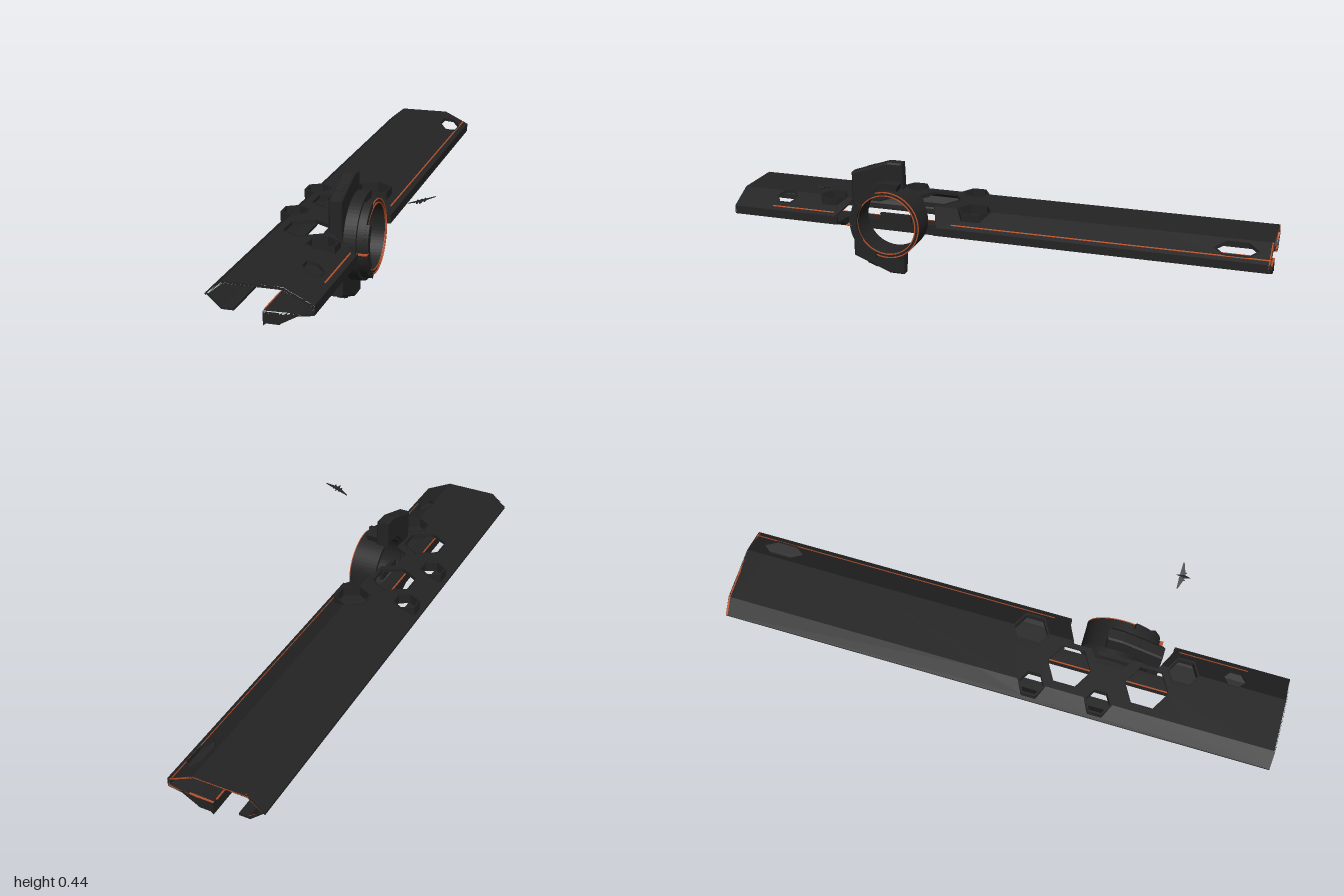
import * as THREE from 'three';

const dark = new THREE.MeshStandardMaterial({ color: 0x242424, flatShading: true, side: THREE.DoubleSide });
const orange = new THREE.MeshStandardMaterial({ color: 0xb8502a, side: THREE.DoubleSide });
const pale = new THREE.MeshStandardMaterial({ color: 0xcfdcd8, side: THREE.DoubleSide });

// Height of the shell's outer skin across its width
const FOLDS = [[-0.29, 0.23], [-0.235, 0.275], [-0.045, 0.275], [0.05, 0.228]];
function skin(x) {
  let i = 0;
  while (i < 2 && x > FOLDS[i + 1][0]) i++;
  const [a, b] = [FOLDS[i], FOLDS[i + 1]];
  return a[1] + (b[1] - a[1]) * (x - a[0]) / (b[0] - a[0]);
}

const toShape = pts => new THREE.Shape(pts.map(p => new THREE.Vector2(p[0], p[1])));

function extrude(pts, depth, holes = [], extra = {}) {
  const shape = toShape(pts);
  shape.holes = holes.map(toShape);
  return new THREE.ExtrudeGeometry(shape, { depth, bevelEnabled: false, curveSegments: 32, ...extra });
}

// Cut triangles along the plane x = c so that a flat sheet can be folded there
function splitAtX(tris, c) {
  const out = [];
  for (const tri of tris) {
    for (const side of [1, -1]) {
      const poly = [];
      tri.forEach((a, i) => {
        const b = tri[(i + 1) % 3], da = (a.x - c) * side, db = (b.x - c) * side;
        if (da >= 0) poly.push(a);
        if (da * db < 0) poly.push(a.clone().lerp(b, da / (da - db)));
      });
      if (poly.every(p => Math.abs(p.x - c) < 1e-7) && side < 0) continue;
      for (let i = 1; i + 1 < poly.length; i++) out.push([poly[0], poly[i], poly[i + 1]]);
    }
  }
  return out;
}

// Sheet drawn in plan (x, z) whose underside follows the height rule
function sheet(pts, holes, thick, height) {
  const flip = list => list.map(([x, z]) => [x, -z]);
  let g = extrude(flip(pts), thick, holes.map(flip));
  g.rotateX(-Math.PI / 2);
  if (g.index) g = g.toNonIndexed();
  const p = g.attributes.position;
  let tris = [];
  for (let i = 0; i < p.count; i += 3) tris.push([0, 1, 2].map(k => new THREE.Vector3().fromBufferAttribute(p, i + k)));
  for (const c of [-0.235, -0.045]) tris = splitAtX(tris, c);
  const verts = tris.flat().map(v => new THREE.Vector3(v.x, v.y + height(v.x), v.z));
  const out = new THREE.BufferGeometry().setFromPoints(verts);
  out.computeVertexNormals();
  return out;
}

const hex = (x, z, r, sx = 1) => Array.from({ length: 6 }, (_, i) => {
  const a = i * Math.PI / 3;
  return [x + Math.sin(a) * r * sx, z + Math.cos(a) * r];
});

// Ring sector in the z-y plane, angles measured from +z
function sector(r0, r1, a0, a1, n = 40) {
  const arc = (r, s, e) => Array.from({ length: n + 1 }, (_, i) => {
    const a = s + (e - s) * i / n;
    return [Math.cos(a) * r, Math.sin(a) * r];
  });
  return [...arc(r1, a0, a1), ...arc(r0, a1, a0)];
}

export function createModel() {
  const root = new THREE.Group();
  const add = (name, geo, mat = dark, parent = root) => {
    const m = new THREE.Mesh(geo, mat);
    m.name = name;
    parent.add(m);
    return m;
  };
  const box = (name, x0, x1, y0, y1, z0, z1, mat = dark, parent = root) => {
    const g = new THREE.BoxGeometry(x1 - x0, y1 - y0, z1 - z0);
    g.translate((x0 + x1) / 2, (y0 + y1) / 2, (z0 + z1) / 2);
    return add(name, g, mat, parent);
  };
  const along = (name, pts, z0, z1, mat = dark) => {
    const g = extrude(pts, z1 - z0);
    g.translate(0, 0, z0);
    return add(name, g, mat);
  };

  // Folded top shell with the side notch and hexagonal openings
  const raised = [[-0.236, 0.13, 0.048], [-0.236, 0.37, 0.048], [-0.05, 0.075, 0.065], [-0.05, 0.63, 0.055]];
  const flush = [[-0.14, 0.24, 0.083], [-0.14, 0.52, 0.083], [0, -0.88, 0.08, 0.46], [-0.018, 0.81, 0.045, 0.8]];
  const outline = [[-0.29, -1], [0.05, -1], [0.05, 0.19], [-0.055, 0.235], [-0.055, 0.3], [-0.105, 0.33],
    [-0.105, 0.42], [-0.055, 0.45], [-0.055, 0.545], [0.05, 0.59], [0.05, 1], [-0.29, 1]];
  const under = x => skin(x) - 0.008;
  add('topShell', sheet(outline, [...raised, ...flush].map(h => hex(...h)), 0.008, under));

  // Collars around the openings
  for (const [x, z, r] of raised) {
    add('raisedCollar', sheet(hex(x, z, r + 0.003), [hex(x, z, r - 0.004)], 0.036, () => 0.241));
    add('collarTrim', sheet(hex(x, z, r + 0.001), [hex(x, z, r - 0.002)], 0.001, () => 0.277));
  }
  for (const [x, z, r, s] of flush) {
    add('flushCollar', sheet(hex(x, z, r, s), [hex(x, z, r - 0.005, s)], 0.012, x => skin(x) - 0.01));
    add('collarTrim', sheet(hex(x, z, r - 0.002, s), [hex(x, z, r - 0.005, s)], 0.001, x => skin(x) + 0.002));
  }

  // Lower flange on the right edge
  const flange = [[-0.29, 0.23], [-0.239, 0.184], [-0.2, 0.184], [-0.2, 0.192], [-0.235, 0.192], [-0.278, 0.23]];
  along('lowerFlange', flange, -1, 1);

  // Left wall and floor, on both sides of the notch
  const wall = [[0.05, 0.228], [0.042, 0.228], [0.042, 0.205], [0, 0.198], [-0.06, 0.194], [-0.06, 0.156], [0, 0.19], [0.05, 0.197]];
  along('sideWall', wall, -1, 0.2);
  along('sideWall', wall, 0.58, 1);

  // Keel running the whole length beside the slot
  along('keel', [[-0.11, 0.193], [-0.11, 0.147], [-0.1, 0.155], [-0.058, 0.155], [-0.058, 0.193]], -1, 1);
  box('keelTrim', -0.112, -0.108, 0.189, 0.194, -0.98, 0.98, orange);

  // Accent lines along the slope
  for (const [z0, z1] of [[-1, 0.14], [0.6, 0.85]]) {
    const x0 = 0.03, x1 = 0.034;
    add('slopeLine', sheet([[x0, z0], [x1, z0], [x1, z1], [x0, z1]], [], 0.0015, skin), orange);
  }

  // End trims following the shell section
  const endPts = [...FOLDS, [0.05, 0.197], [0, 0.19], [-0.11, 0.188], [-0.11, 0.194], [0, 0.197], [0.043, 0.205],
    [0.043, 0.224], [-0.046, 0.267], [-0.233, 0.267], [-0.278, 0.23], [-0.235, 0.192], [-0.2, 0.192], [-0.2, 0.184], [-0.239, 0.184]];
  along('backTrim', endPts, -1, -0.993, orange);
  along('frontTrim', endPts, 0.997, 1, pale);

  // Round port assembly, drawn in the z-y plane and turned to face +x
  const port = new THREE.Group();
  port.name = 'roundPort';
  port.position.set(0, 0.217, 0.384);
  root.add(port);
  const slab = (name, pts, x0, x1, mat = dark, holes = [], extra) => {
    const g = extrude(pts.map(([z, y]) => [-z, y]), x1 - x0, holes, extra);
    g.rotateY(Math.PI / 2);
    g.translate(x0, 0, 0);
    return add(name, g, mat, port);
  };
  const circle = r => sector(r, r, 0, Math.PI * 2, 64).slice(0, 64);
  slab('portRing', circle(0.127), -0.05, 0.05, dark, [circle(0.112)]);
  slab('outerRimTrim', circle(0.128), 0.05, 0.053, orange, [circle(0.124)]);
  slab('innerRimTrim', circle(0.115), 0.05, 0.053, orange, [circle(0.111)]);
  slab('outerCollar', sector(0.127, 0.151, -1.83, 1.83), -0.015, 0.027);
  slab('middleCollar', sector(0.12, 0.14, -1.25, 1.25), 0.027, 0.054);
  slab('rimPad', sector(0.112, 0.138, -0.62, 0.62, 16), 0.05, 0.065);
  box('seamLine', -0.04, 0.066, -0.013, -0.01, 0.13, 0.153, orange, port);

  // Crescent bracket with blunt upper and lower horns
  const inner = Array.from({ length: 25 }, (_, i) => {
    const a = 1.87 - i / 24 * 3.74;
    return [Math.cos(a) * 0.125, Math.sin(a) * 0.125];
  });
  const b = 0.006;
  slab('crescentBracket', [[0.155, -0.157], [0.155, 0.163], [0.016, 0.212], [-0.033, 0.212], ...inner,
    [-0.033, -0.211], [0.016, -0.211]], -0.054, -0.021, dark, [],
  { bevelEnabled: true, bevelSegments: 1, bevelSize: b, bevelThickness: b });
  for (const s of [1, -1]) {
    const inset = box('hornInset', -0.05, -0.025, -0.02, 0.02, -0.004, 0.004, dark, port);
    inset.position.set(0, s * 0.19, 0.09);
    inset.rotation.x = -s * 1.23;
  }

  // Fittings inside the port
  box('innerFitting', -0.055, -0.04, -0.02, 0.01, -0.06, 0.06, dark, port);

  // Small winged craft hovering beside the structure
  const craft = new THREE.Group();
  craft.name = 'smallCraft';
  craft.position.set(0.245, 0.411, 0.54);
  craft.rotation.z = 0.33;
  root.add(craft);
  const hull = new THREE.OctahedronGeometry(1);
  hull.scale(0.007, 0.006, 0.026);
  add('craftHull', hull, dark, craft);
  for (const s of [1, -1]) {
    const wing = sheet([[0, -0.014], [s * 0.047, -0.013], [s * 0.047, -0.009], [0, 0.008]], [], 0.0015, () => 0);
    add('craftWing', wing, dark, craft);
    const fin = box('craftPod', -0.002, 0.002, -0.003, 0.004, -0.014, 0.008, dark, craft);
    fin.position.x = s * 0.013;
  }
  return root;
}
